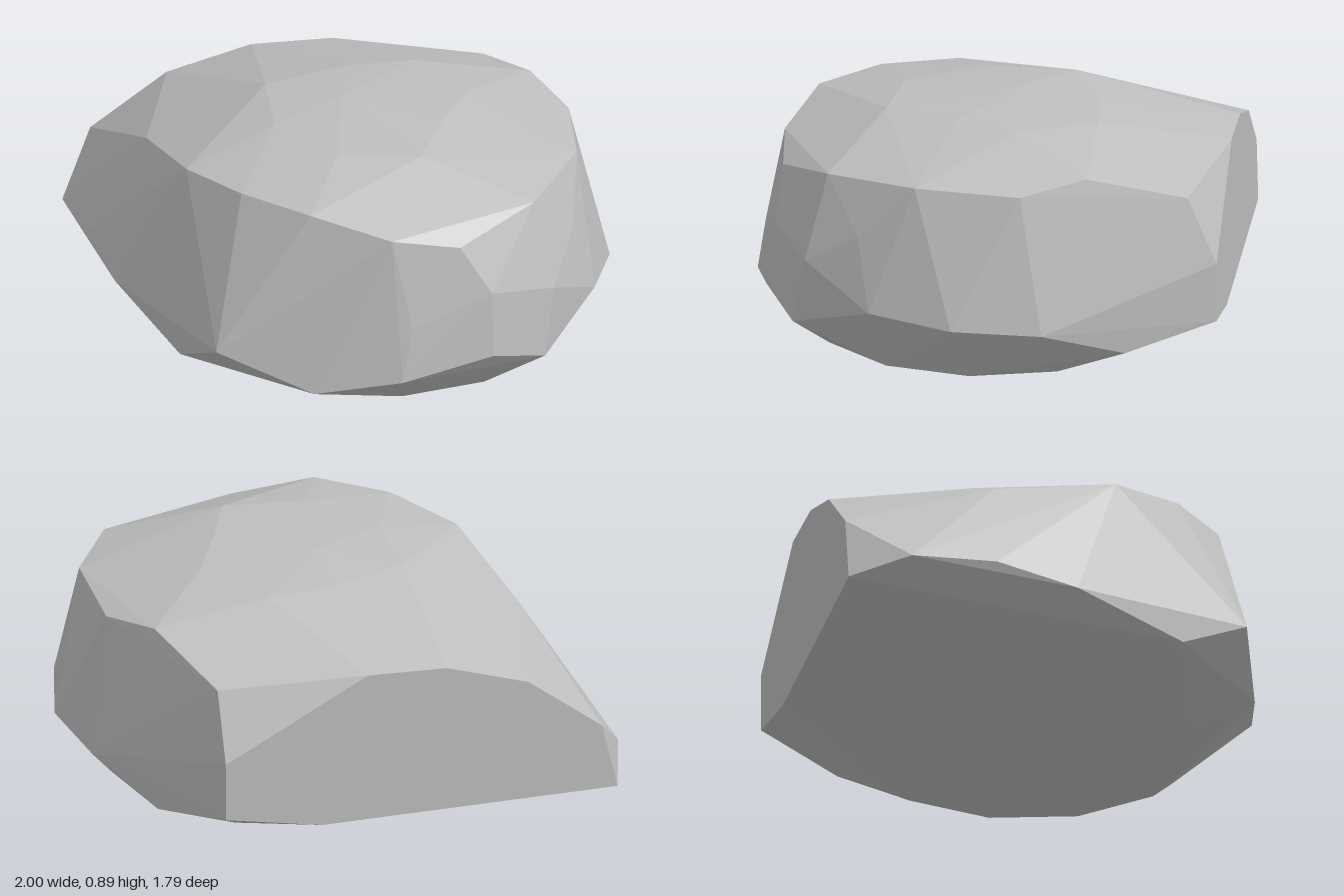
import * as THREE from 'three';
import { ConvexGeometry } from 'three/addons/geometries/ConvexGeometry.js';

export function createModel() {
  const model = new THREE.Group();
  model.name = 'boulder';
  const stone = new THREE.MeshStandardMaterial({ color: 0xbebebe });
  stone.name = 'stone grey';

  // widest ring, low on the sides
  const girth = [
    [0.13, 0.17, 0.89], [0.48, 0.23, 0.82], [0.69, 0.16, 0.7], [0.91, 0.28, 0.39],
    [1, 0.25, 0.07], [0.95, 0.225, -0.27], [0.78, 0.11, -0.57], [-1, 0.21, -0.67],
    [-0.95, 0.24, -0.33], [-0.87, 0.2, 0], [-0.67, 0.11, 0.45], [-0.56, 0.25, 0.72],
    [-0.2, 0.11, 0.83],
  ];
  // bulges between girth and shoulder
  const flank = [
    [0.48, 0.48, 0.79], [0.73, 0.42, 0.65], [0.82, 0.55, 0.44], [0.17, 0.38, 0.855],
  ];
  // shoulder where the sides meet the top
  const shoulder = [
    [0.1, 0.72, 0.79], [0.36, 0.67, 0.77], [0.66, 0.745, 0.57], [0.86, 0.77, 0.22],
    [0.87, 0.75, -0.18], [0.75, 0.79, -0.42], [0.61, 0.68, -0.79], [-0.72, 0.65, -0.29],
    [-0.62, 0.765, 0.2], [-0.44, 0.795, 0.48], [-0.2, 0.795, 0.69],
  ];
  // gently domed crown
  const crown = [
    [-0.06, 0.87, 0.35], [0.25, 0.87, 0.39], [0.37, 0.88, 0.1], [0, 0.89, -0.1],
    [0.48, 0.87, -0.12], [0.3, 0.86, -0.42], [0.05, 0.86, -0.4], [-0.27, 0.86, -0.28],
    [-0.27, 0.865, 0.06],
  ];
  // flat cut at the back, as x and y on one plane
  const cut = [
    [0.61, 0.19], [0.61, 0.42], [0.05, 0.72], [-0.26, 0.71], [-0.58, 0.61],
    [-0.87, 0.39], [-0.93, 0.13], [0.23, 0.12],
  ].map(([x, y]) => [x, y, -0.9]);
  // flat oval underside
  const base = [];
  for (let i = 0; i < 12; i++) {
    const a = (i / 12) * Math.PI * 2;
    base.push([0.15 + 0.64 * Math.cos(a), 0, 0.02 + 0.65 * Math.sin(a)]);
  }

  // the hull has one flat normal per facet
  const points = [...girth, ...flank, ...shoulder, ...crown, ...cut, ...base]
    .map((p) => new THREE.Vector3(...p));
  const rock = new THREE.Mesh(new ConvexGeometry(points), stone);
  rock.name = 'rock';
  model.add(rock);
  return model;
}
